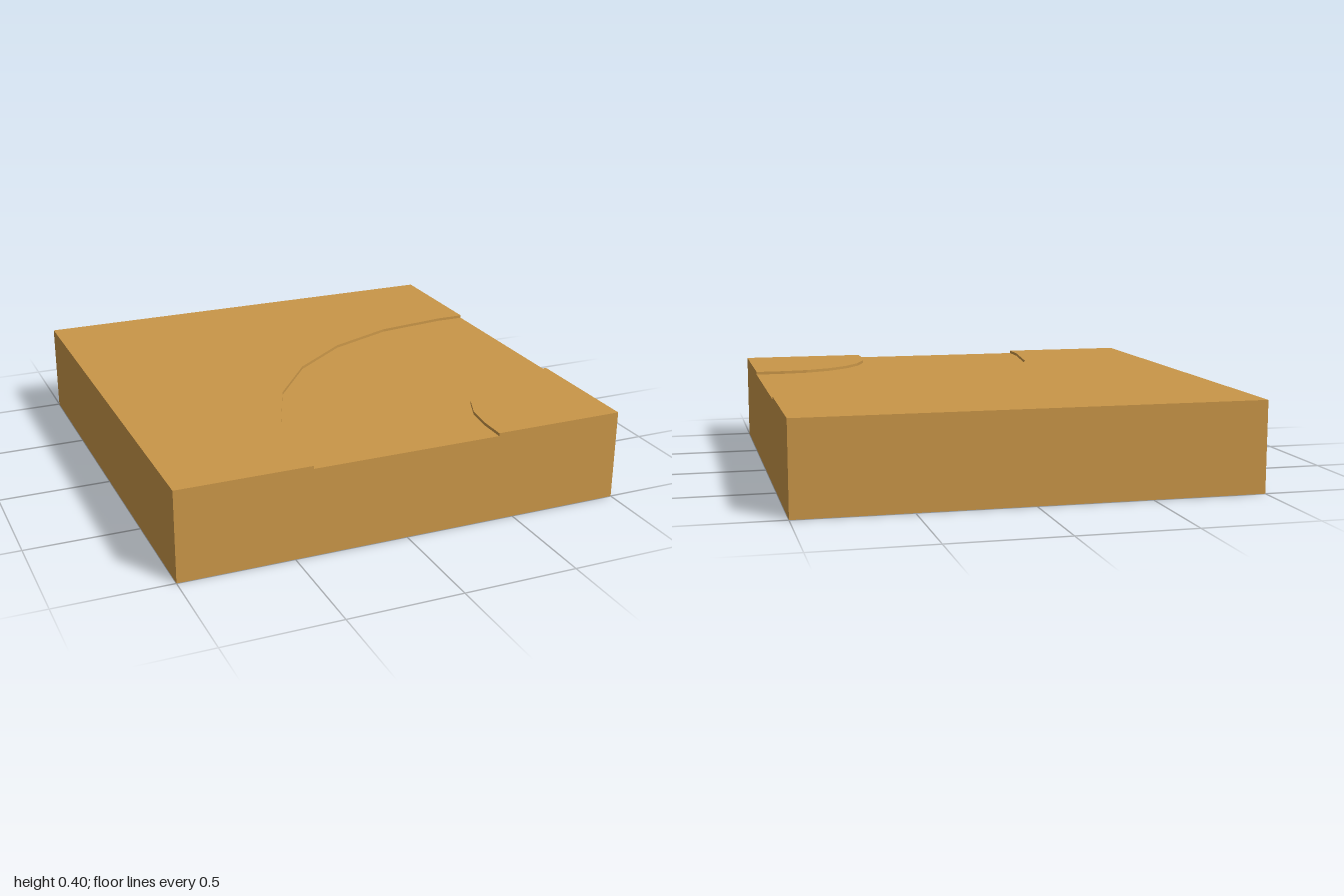
import * as THREE from 'three';

const TOP = 0.4, PATH = 0.387;  // ground height, sunken path height
const C = 0.87;                 // bend centre, for both x and z
const OUTER = 1.29, INNER = 0.455;

const material = new THREE.MeshStandardMaterial({
  color: 0xc99648, flatShading: true, side: THREE.DoubleSide,
});

// Edge of the bend in (x, -z): short straight, six arc segments, short straight
function bend(r) {
  const pts = [new THREE.Vector2(C - r, -1)];
  for (let i = 0; i <= 6; i++) {
    const a = Math.PI - (i / 6) * Math.PI / 2;
    pts.push(new THREE.Vector2(C + r * Math.cos(a), -C + r * Math.sin(a)));
  }
  pts.push(new THREE.Vector2(1, -C + r));
  return pts;
}

const v = (x, y) => new THREE.Vector2(x, y);

export function createModel() {
  const group = new THREE.Group();
  const add = (name, geometry) => {
    const mesh = new THREE.Mesh(geometry, material);
    mesh.name = name;
    group.add(mesh);
    return mesh;
  };
  const flat = (name, pts, y) =>
    add(name, new THREE.ShapeGeometry(new THREE.Shape(pts)).rotateX(-Math.PI / 2).translate(0, y, 0));

  const outer = bend(OUTER), inner = bend(INNER);

  // Horizontal surfaces
  flat('outerGround', [v(-1, -1), ...outer, v(1, 1), v(-1, 1)], TOP);
  flat('sunkenPath', [...outer, ...[...inner].reverse()], PATH);
  flat('cornerGround', [...inner, v(1, -1)], TOP);

  // Low steps along both edges of the path
  const step = (name, pts, flip) => {
    const pos = [], index = [];
    pts.forEach((p, i) => {
      pos.push(p.x, PATH, -p.y, p.x, TOP, -p.y);
      if (i) {
        const a = 2 * i - 2;
        index.push(...(flip ? [a, a + 1, a + 2, a + 1, a + 3, a + 2] : [a, a + 2, a + 1, a + 1, a + 2, a + 3]));
      }
    });
    const g = new THREE.BufferGeometry();
    g.setAttribute('position', new THREE.Float32BufferAttribute(pos, 3));
    g.setIndex(index);
    g.computeVertexNormals();
    add(name, g);
  };
  step('outerStep', outer, false);
  step('innerStep', inner, true);

  // Side walls; the path cuts a shallow notch in two of them; the base is open
  const wall = (name, angle, notch) => {
    const cut = notch
      ? [v(notch[1], TOP), v(notch[1], PATH), v(notch[0], PATH), v(notch[0], TOP)] : [];
    const shape = new THREE.Shape([v(-1, 0), v(1, 0), v(1, TOP), ...cut, v(-1, TOP)]);
    add(name, new THREE.ShapeGeometry(shape).translate(0, 0, 1).rotateY(angle));
  };
  wall('frontWall', 0, [C - OUTER, C - INNER]);
  wall('leftWall', Math.PI / 2, [INNER - C, OUTER - C]);
  wall('backWall', Math.PI);
  wall('rightWall', -Math.PI / 2);

  return group;
}
